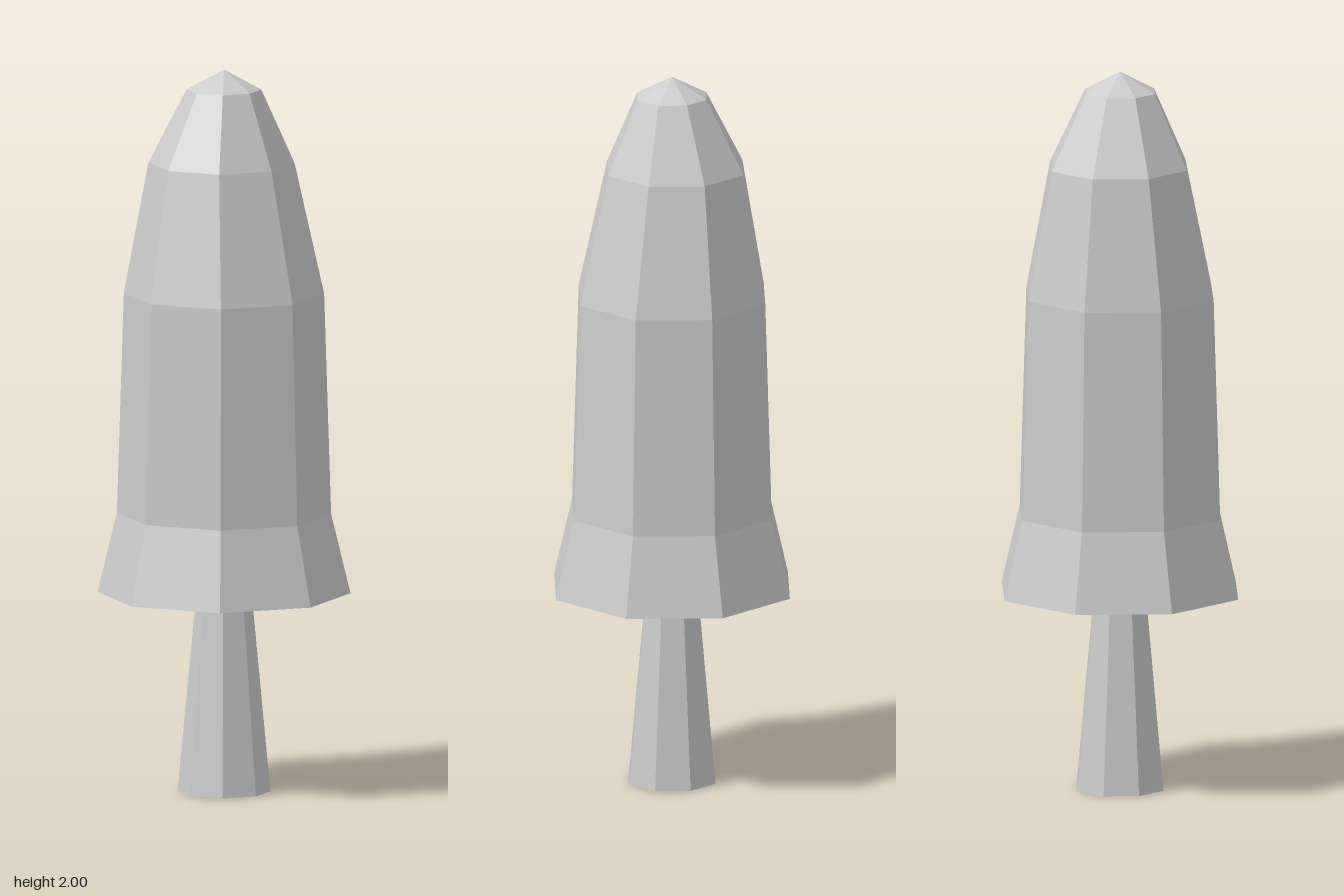
import * as THREE from 'three';

const SIDES = 8;

// Faceted solid of revolution from [radius, y, zShift] rings, bottom to top
function facetedLathe(name, rings, material) {
  const geometry = new THREE.LatheGeometry(rings.map(([r, y]) => new THREE.Vector2(r, y)), SIDES);
  const position = geometry.attributes.position;
  for (let i = 0; i < position.count; i++) {
    const shift = rings[i % rings.length][2] ?? 0;
    position.setZ(i, position.getZ(i) + shift);
  }
  geometry.computeVertexNormals();
  const mesh = new THREE.Mesh(geometry, material);
  mesh.name = name;
  return mesh;
}

export function createModel() {
  const group = new THREE.Group();
  group.name = 'mushroom';
  const material = new THREE.MeshStandardMaterial({
    color: 0xcccccc,
    flatShading: true,
    side: THREE.DoubleSide,
  });

  // Tapered hollow stem, open at the foot
  group.add(facetedLathe('stem', [[0.127, 0], [0.055, 0.77]], material));

  // Tall cap: recessed underside, flared rim, then the slightly uneven dome
  group.add(facetedLathe('cap', [
    [0.055, 0.77],
    [0.346, 0.55],
    [0.293, 0.77],
    [0.274, 1.38],
    [0.2, 1.74, -0.01],
    [0.102, 1.945],
    [0, 2],
  ], material));

  return group;
}
